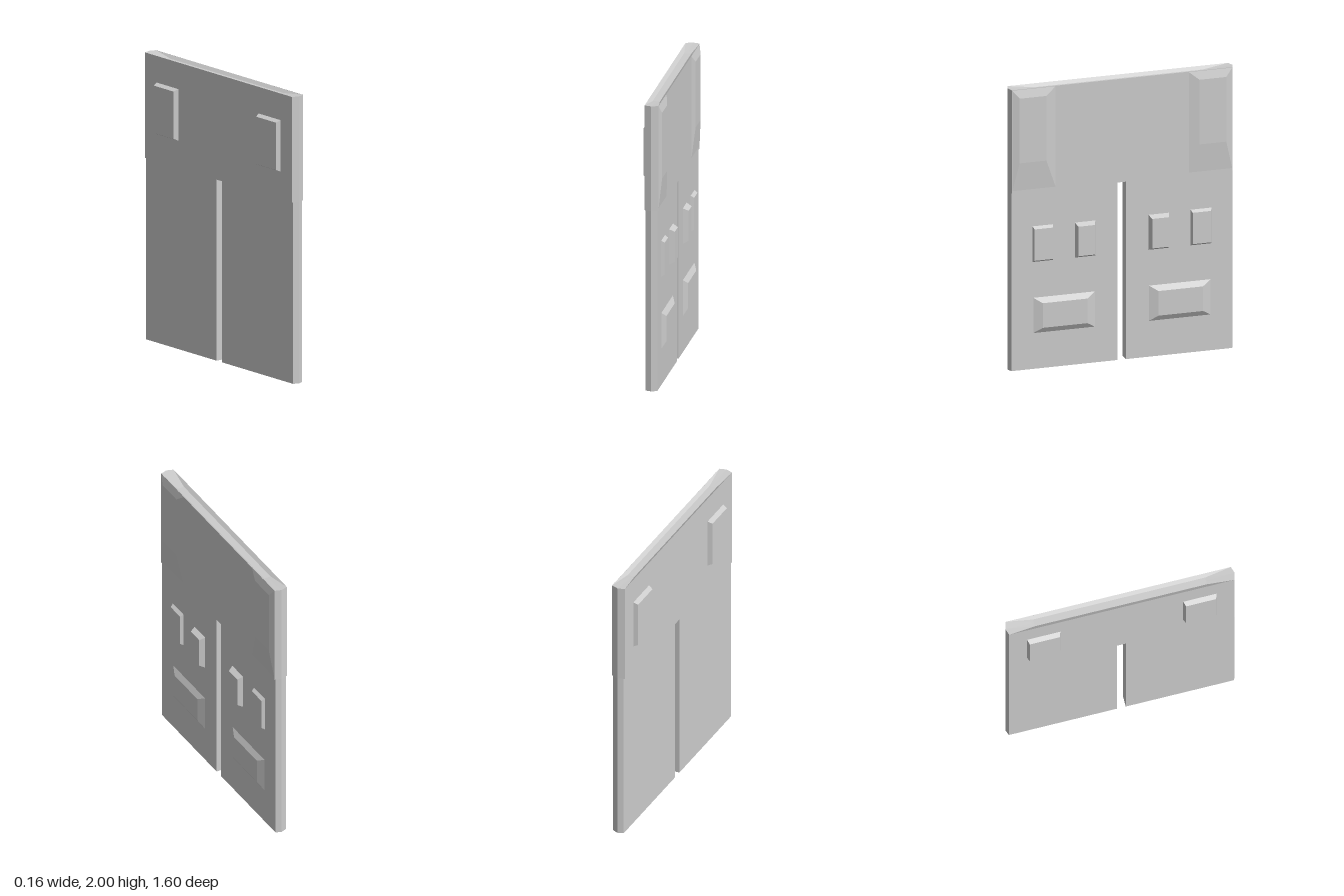
import * as THREE from 'three';

// Joins matching rings of points with quads; rings run counterclockwise around the direction of travel.
function loft(rings, capStart, capEnd) {
  const pos = [];
  const tri = (a, b, c) => pos.push(...a, ...b, ...c);
  for (let r = 0; r < rings.length - 1; r++) {
    const a = rings[r], b = rings[r + 1];
    a.forEach((p, i) => {
      const j = (i + 1) % a.length;
      tri(p, a[j], b[j]);
      tri(p, b[j], b[i]);
    });
  }
  const first = rings[0], last = rings[rings.length - 1];
  for (let i = 1; i < first.length - 1; i++) {
    if (capStart) tri(first[0], first[i + 1], first[i]);
    if (capEnd) tri(last[0], last[i], last[i + 1]);
  }
  const g = new THREE.BufferGeometry();
  g.setAttribute('position', new THREE.Float32BufferAttribute(pos, 3));
  g.computeVertexNormals();
  return g;
}

// Horizontal ring from [x, z] pairs
const level = (pts, y) => pts.map(([x, z]) => [x, y, z]);

// Bevelled raised panel growing along x; each rectangle is [y0, y1, z0, z1]
function raised(x0, x1, base, face) {
  const ring = (x, [y0, y1, z0, z1]) => {
    const r = [[x, y0, z0], [x, y1, z0], [x, y1, z1], [x, y0, z1]];
    return x1 < x0 ? r.reverse() : r;
  };
  return loft([ring(x0, base), ring(x1, face)], false, true);
}

export function createModel() {
  const group = new THREE.Group();
  const cloth = new THREE.MeshStandardMaterial({ color: 0xcccccc, flatShading: true, side: THREE.DoubleSide });
  cloth.name = 'lightGrey';

  const add = (name, geometry, mirrored = false) => {
    const mesh = new THREE.Mesh(geometry, cloth);
    mesh.name = name;
    if (mirrored) mesh.scale.z = -1;
    group.add(mesh);
  };
  const addPair = (name, geometry) => {
    add(name + 'Front', geometry);
    add(name + 'Back', geometry, true);
  };

  // Upper panel with pointed side edges and a shallow groove along the top
  const outline = [[0, 0.8], [0.048, 0.785], [0.048, -0.785], [0, -0.8], [-0.048, -0.785], [-0.048, 0.785]];
  const groove = [[0, 0.6], [0.025, 0.6], [0.025, -0.6], [0, -0.6], [-0.025, -0.6], [-0.025, 0.6]];
  add('upperPanel', loft([level(outline, 1.265), level(outline, 2), level(groove, 1.98)], true, true));

  // Lower panels, open at the hem, with a gap between them
  const leg = [[0, 0.8], [0.04, 0.785], [0.04, 0.03], [-0.04, 0.03], [-0.04, 0.785]];
  addPair('lowerPanel', loft([level(leg, 0), level(leg, 1.27)], false, false));

  // Raised corners of the upper panel
  addPair('cornerPad', raised(0.047, 0.064, [1.27, 2, 0.47, 0.785], [1.48, 1.94, 0.545, 0.735]));

  // Tall pockets on the reverse side
  addPair('reversePocket', raised(-0.047, -0.08, [1.455, 1.815, 0.428, 0.66], [1.47, 1.8, 0.44, 0.65]));

  // Small pockets: the inner pair is thicker than the outer pair
  addPair('innerPocket', raised(0.039, 0.077, [0.76, 1.01, 0.188, 0.335], [0.78, 0.99, 0.205, 0.322]));
  addPair('outerPocket', raised(0.039, 0.062, [0.76, 1.015, 0.488, 0.637], [0.775, 0.998, 0.497, 0.628]));

  // Wide low pads
  addPair('widePad', raised(0.039, 0.064, [0.253, 0.507, 0.19, 0.633], [0.293, 0.468, 0.253, 0.57]));

  return group;
}
